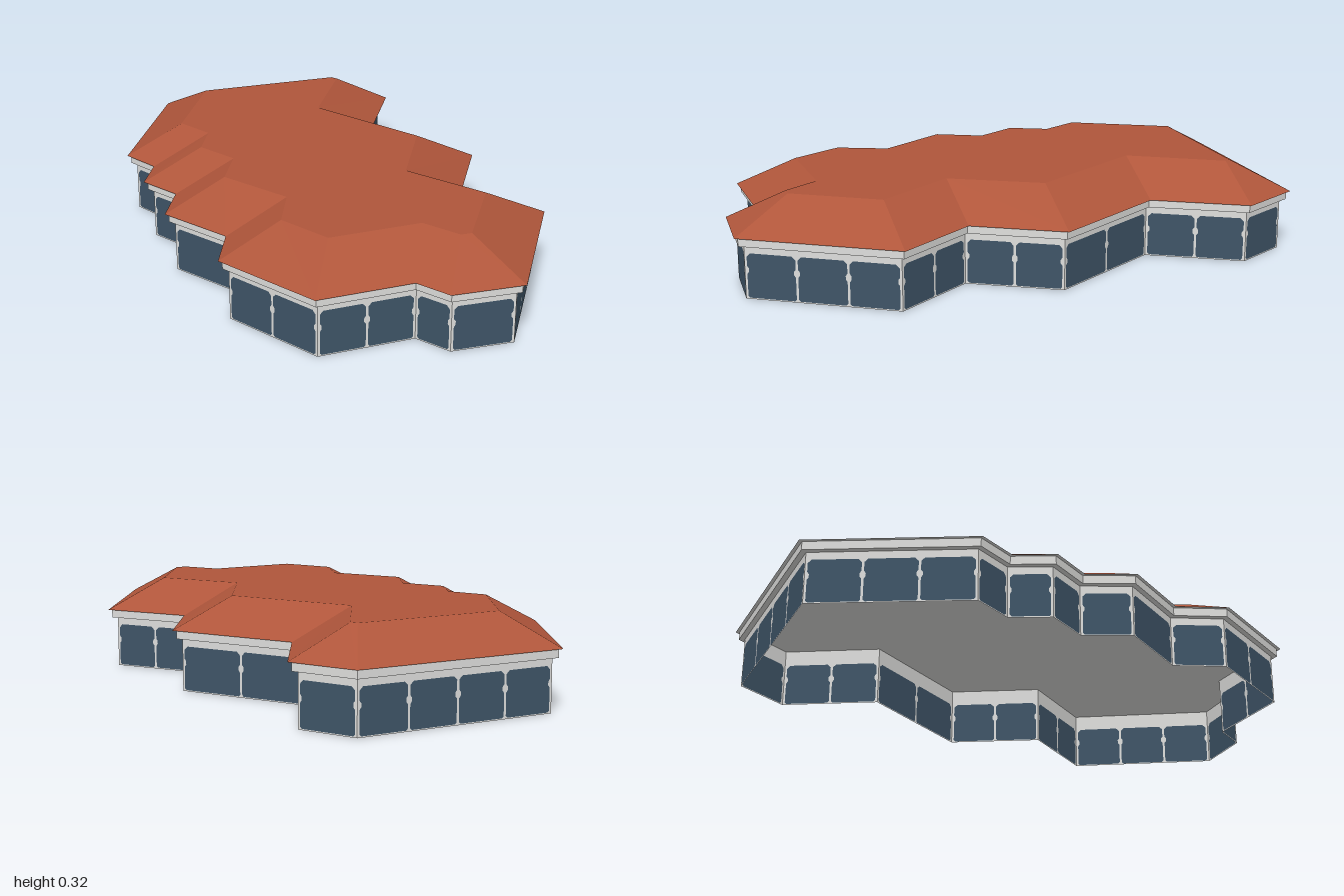
import * as THREE from 'three';

// Each corner of the footprint: eave x, z, then the matching corner of the flat roof top x, z
const corners = [
  [-0.473, -0.911, -0.335, -0.733], [0.282, -1.0, 0.195, -0.795], [0.429, -0.798, 0.212, -0.775],
  [0.293, -0.473, 0.068, -0.446], [0.594, -0.102, 0.367, -0.073], [0.461, 0.21, 0.242, 0.247],
  [0.685, 0.454, 0.457, 0.491], [0.443, 0.98, 0.317, 0.795], [0.193, 1.0, 0.279, 0.8],
  [0.108, 0.897, 0.182, 0.688], [-0.222, 0.95, -0.138, 0.739], [-0.474, 0.617, -0.259, 0.574],
  [-0.423, 0.435, -0.208, 0.394], [-0.603, 0.215, -0.388, 0.179], [-0.547, 0.046, -0.332, 0.014],
  [-0.648, -0.086, -0.432, -0.118], [-0.598, -0.229, -0.387, -0.256], [-0.685, -0.356, -0.473, -0.378],
];
const N = corners.length;
const EAVE_Y = 0.215, TOP_Y = 0.322, FASCIA_Y = 0.185, PANE_TOP = 0.158;

// Footprint moved inwards from the eave (0) to the roof top (1)
const outline = (t) => corners.map(([x, z, u, v]) => new THREE.Vector2(x + (u - x) * t, z + (v - z) * t));

// Flat-shaded band between two outlines at two heights
function band(low, y0, high, y1) {
  const p = [];
  for (let i = 0; i < N; i++) {
    const j = (i + 1) % N;
    const a = [low[i].x, y0, low[i].y], b = [low[j].x, y0, low[j].y];
    const c = [high[i].x, y1, high[i].y], d = [high[j].x, y1, high[j].y];
    p.push(...a, ...c, ...d, ...a, ...d, ...b);
  }
  const g = new THREE.BufferGeometry();
  g.setAttribute('position', new THREE.Float32BufferAttribute(p, 3));
  g.computeVertexNormals();
  return g;
}

// Horizontal face filling an outline
function cap(points, y) {
  const shape = new THREE.Shape(points.map((p) => new THREE.Vector2(p.x, -p.y)));
  return new THREE.ShapeGeometry(shape).rotateX(-Math.PI / 2).translate(0, y, 0);
}

// Window pane centred on cx, with clipped corners and a small notch halfway up each side
function panePoints(cx, w) {
  const h = w / 2, c = 0.012, y0 = 0.004, m = 0.1, n = 0.006;
  const side = [
    [h - 0.006, y0], [h, y0 + 0.006], [h, m - 0.014], [h - n, m - 0.006],
    [h - n, m + 0.006], [h, m + 0.014], [h, PANE_TOP - c], [h - c, PANE_TOP],
  ];
  const mirrored = side.map(([x, y]) => [-x, y]).reverse();
  return [...side, ...mirrored].map(([x, y]) => new THREE.Vector2(cx + x, y));
}

export function createModel() {
  const model = new THREE.Group();
  const make = (name, color) => {
    const m = new THREE.MeshStandardMaterial({ color, side: THREE.DoubleSide });
    m.name = name;
    return m;
  };
  const roofTile = make('terracotta roof', 0xb0563b);
  const plaster = make('pale plaster', 0xdfdfdd);
  const glass = make('blue grey glass', 0x3f5568);

  const add = (name, geometry, material, parent = model) => {
    const mesh = new THREE.Mesh(geometry, material);
    mesh.name = name;
    parent.add(mesh);
  };

  const eave = outline(0), fascia = outline(0.065), wall = outline(0.165), top = outline(1);

  // Roof: sloping skirt and flat top
  add('roofSlopes', band(eave, EAVE_Y, top, TOP_Y), roofTile);
  add('roofTop', cap(top, TOP_Y), roofTile);

  // Ceiling running out under the eaves, and the boxed fascia below it
  add('ceiling', cap(eave, EAVE_Y), plaster);
  add('fascia', band(fascia, FASCIA_Y, fascia, EAVE_Y), plaster);
  add('soffit', band(fascia, FASCIA_Y, wall, FASCIA_Y), plaster);

  // Walls with panes set flush in their openings, open at the bottom
  const margin = 0.008, gap = 0.008;
  for (let i = 0; i < N; i++) {
    const a = wall[i], b = wall[(i + 1) % N];
    const length = a.distanceTo(b), half = length / 2;
    const count = Math.max(1, Math.round(length / 0.2));
    const pitch = (length - 2 * margin + gap) / count;

    const side = new THREE.Group();
    side.name = 'wallSide';
    side.position.set((a.x + b.x) / 2, 0, (a.y + b.y) / 2);
    side.rotation.y = Math.atan2(b.y - a.y, a.x - b.x);
    model.add(side);

    const wallShape = new THREE.Shape([
      new THREE.Vector2(-half, 0), new THREE.Vector2(half, 0),
      new THREE.Vector2(half, EAVE_Y), new THREE.Vector2(-half, EAVE_Y),
    ]);
    const panes = [];
    for (let k = 0; k < count; k++) {
      const points = panePoints((k - (count - 1) / 2) * pitch, pitch - gap);
      wallShape.holes.push(new THREE.Path(points));
      panes.push(new THREE.Shape(points));
    }
    add('wall', new THREE.ShapeGeometry(wallShape), plaster, side);
    add('windowPanes', new THREE.ShapeGeometry(panes), glass, side);
  }
  return model;
}
